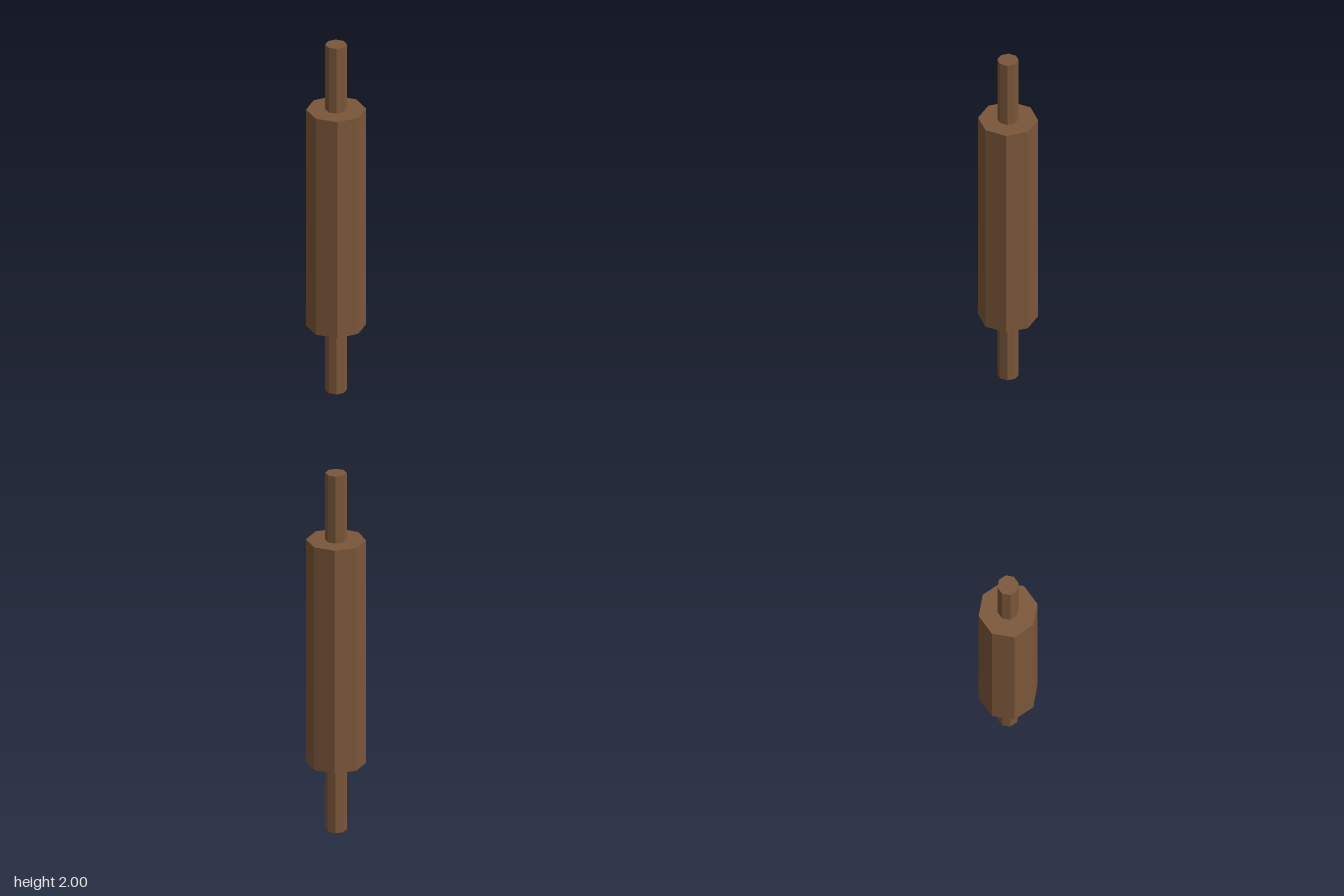
import * as THREE from 'three';

export function createModel() {
  const group = new THREE.Group();
  group.name = 'rollingPin';

  const wood = new THREE.MeshStandardMaterial({ color: 0x7b5639 });
  wood.name = 'brown wood';
  wood.flatShading = true;

  // Upright eight-sided rod between two heights
  const addRod = (name, radius, bottom, top) => {
    const geometry = new THREE.CylinderGeometry(radius, radius, top - bottom, 8);
    const mesh = new THREE.Mesh(geometry, wood);
    mesh.name = name;
    mesh.position.y = (bottom + top) / 2;
    group.add(mesh);
  };

  // Thick roller with a thin handle at each end
  addRod('roller', 0.156, 0.375, 1.625);
  addRod('lowerHandle', 0.056, 0, 0.375);
  addRod('upperHandle', 0.056, 1.625, 2);

  return group;
}
